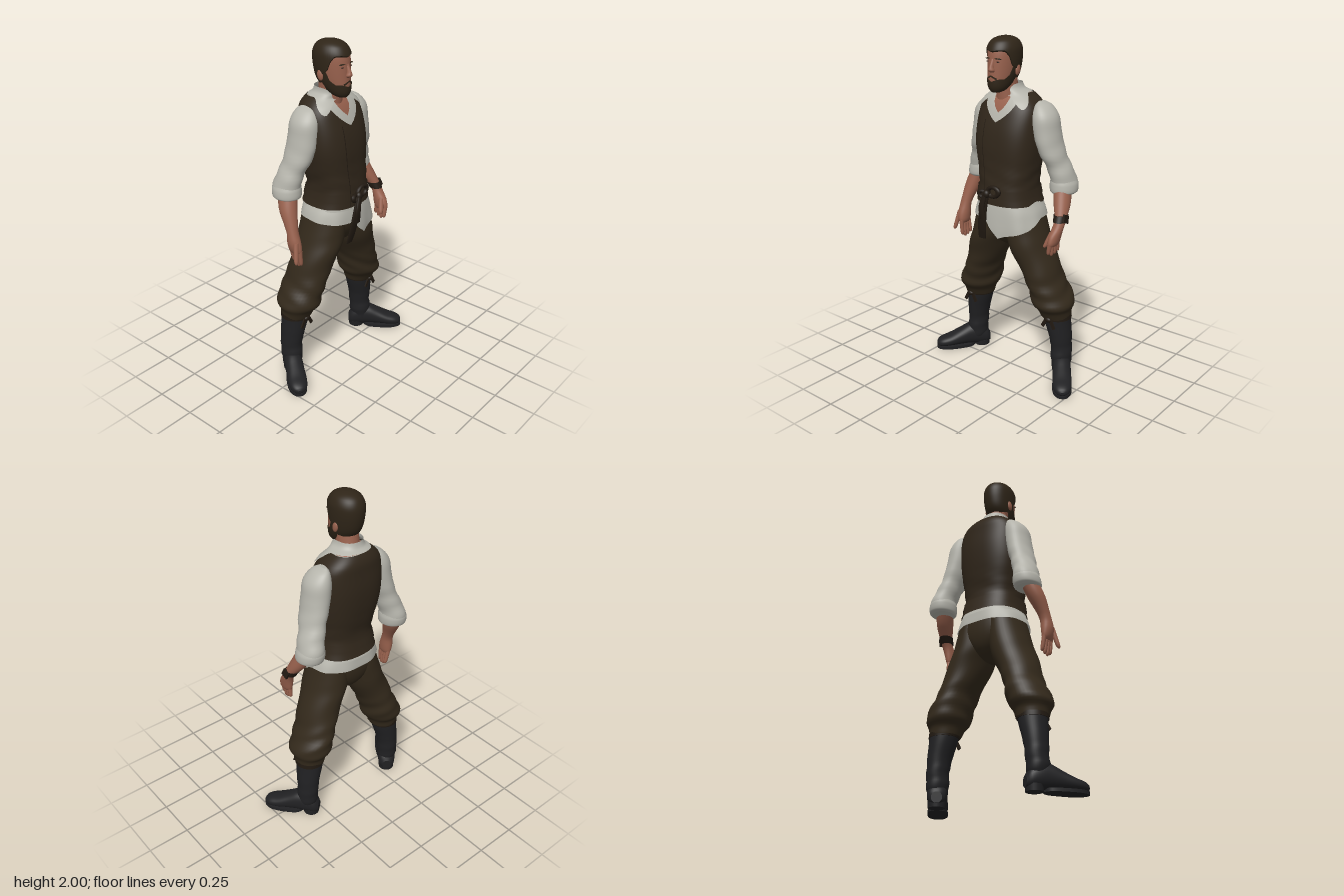
import * as THREE from 'three';

const mat = (name, color) => new THREE.MeshStandardMaterial({ name, color, side: THREE.DoubleSide });
const skin = mat('skin', 0x98614d), hair = mat('hair', 0x2f2518), shirt = mat('linen', 0xb6b5ac);
const vest = mat('vest brown', 0x30261a), pants = mat('trouser brown', 0x33291b);
const boot = mat('boot leather', 0x212123), strap = mat('strap leather', 0x221a12), dark = mat('eye dark', 0x3a2620);

// Smoothly interpolated section at height y; each section is [y, centreX, centreZ, radiusX, radiusZ]
function sectionAt(p, y) {
  const n = p.length - 1;
  y = Math.min(Math.max(y, p[0][0]), p[n][0]);
  let i = 0;
  while (i < n - 1 && y > p[i + 1][0]) i++;
  const h = p[i + 1][0] - p[i][0], t = (y - p[i][0]) / h;
  const slope = (k, c) => {
    const a = p[Math.max(k - 1, 0)], b = p[Math.min(k + 1, n)];
    return (b[c] - a[c]) / (b[0] - a[0]);
  };
  return [1, 2, 3, 4].map(c => (2 * t ** 3 - 3 * t * t + 1) * p[i][c] + (t ** 3 - 2 * t * t + t) * h * slope(i, c)
    + (3 * t * t - 2 * t ** 3) * p[i + 1][c] + (t ** 3 - t * t) * h * slope(i + 1, c));
}

// Surface wrapped round a profile between two edges, which may vary with the angle
function wrap(name, material, profile, o = {}) {
  const p = [...profile].sort((a, b) => a[0] - b[0]);
  const { lo = p[0][0], hi = p[p.length - 1][0], a0 = 0, a1 = Math.PI * 2, grow = 0, rows = 20, cols = 40, n = 2, caps = true } = o;
  const val = (f, ...a) => typeof f === 'function' ? f(...a) : f;
  const full = a1 - a0 > 6.28, w = full ? cols : cols + 1;
  const pos = [], idx = [];
  for (let i = 0; i <= rows; i++) for (let j = 0; j < w; j++) {
    const a = a0 + (a1 - a0) * j / cols, t = (1 - Math.cos(Math.PI * i / rows)) / 2;
    const l = val(lo, a), y = l + (val(hi, a) - l) * t;
    const [cx, cz, rx, rz] = sectionAt(p, y), g = val(grow, a, y);
    const c = Math.cos(a), s = Math.sin(a), e = 2 / n;
    pos.push(cx + (rx + g) * Math.sign(c) * Math.abs(c) ** e, y, cz + (rz + g) * Math.sign(s) * Math.abs(s) ** e);
  }
  for (let i = 0; i < rows; i++) for (let j = 0; j < cols; j++) {
    const a = i * w + j, b = i * w + (j + 1) % w;
    idx.push(a, a + w, b, b, a + w, b + w);
  }
  if (caps && full) for (const r of [0, rows]) {
    const start = pos.length / 3, mid = [0, 0, 0];
    for (let j = 0; j < w; j++) for (let k = 0; k < 3; k++) {
      const v = pos[(r * w + j) * 3 + k];
      pos.push(v);
      mid[k] += v / w;
    }
    pos.push(...mid);
    for (let j = 0; j < w; j++) {
      const a = start + j, b = start + (j + 1) % w;
      idx.push(start + w, r ? b : a, r ? a : b);
    }
  }
  const g = new THREE.BufferGeometry();
  g.setAttribute('position', new THREE.Float32BufferAttribute(pos, 3));
  g.setIndex(idx);
  g.computeVertexNormals();
  const m = new THREE.Mesh(g, material);
  m.name = name;
  return m;
}

function part(name, geometry, material, [x, y, z], scale = [1, 1, 1], rot = [0, 0, 0]) {
  const m = new THREE.Mesh(geometry, material);
  m.name = name;
  m.position.set(x, y, z);
  m.scale.set(...scale);
  m.rotation.set(...rot);
  return m;
}

const front = a => Math.abs(Math.atan2(Math.cos(a), Math.sin(a))); // angle away from the front
const lerpTable = (t, x) => {
  let i = 0;
  while (i < t.length - 2 && x > t[i + 1][0]) i++;
  const k = Math.min(Math.max((x - t[i][0]) / (t[i + 1][0] - t[i][0]), 0), 1);
  return t[i][1] + (t[i + 1][1] - t[i][1]) * k;
};
const mirror = (p, s) => p.map(([y, x, ...r]) => [y, x * s, ...r]);
const ball = new THREE.SphereGeometry(1, 20, 14);

const HEAD = [[1.7, -.04, .07, .018, .022], [1.71, -.04, .06, .036, .042], [1.73, -.04, .045, .052, .066], [1.76, -.04, .028, .064, .086],
  [1.8, -.04, .013, .074, .1], [1.86, -.04, .004, .081, .107], [1.91, -.04, 0, .083, .107], [1.94, -.04, -.002, .08, .101],
  [1.97, -.04, -.004, .066, .084], [1.985, -.04, -.005, .05, .064], [1.995, -.04, -.006, .028, .038], [2, -.04, -.006, .006, .008]];
const TORSO = [[1.06, -.004, -.01, .192, .172], [1.12, -.004, -.004, .177, .161], [1.2, -.004, 0, .17, .15], [1.3, -.01, -.012, .184, .154],
  [1.4, -.015, -.02, .199, .16], [1.5, -.015, -.03, .201, .155], [1.6, -.015, -.043, .193, .134], [1.65, -.018, -.053, .168, .119],
  [1.69, -.022, -.057, .122, .092], [1.72, -.025, -.045, .07, .07]];
const COLLAR = [[1.6, -.015, -.043, .207, .148], [1.65, -.018, -.053, .18, .132], [1.69, -.022, -.053, .128, .1],
  [1.715, -.03, -.034, .084, .086], [1.76, -.035, -.025, .069, .079]];
const SKIRT = [[1.13, 0, -.006, .163, .146], [1.08, 0, -.008, .184, .162], [1.04, 0, -.008, .204, .168], [1, 0, -.008, .217, .172],
  [.93, .002, -.006, .234, .174], [.86, .002, -.005, .242, .172]];
const HIPS = [[1.08, 0, -.01, .165, .14], [1, 0, -.01, .203, .15], [.93, 0, -.013, .2, .144], [.87, 0, -.018, .13, .12], [.83, 0, -.02, .07, .085], [.795, 0, -.02, .015, .03]];
const SLEEVE = [[1.655, .17, -.065, .012, .03], [1.635, .185, -.062, .04, .06], [1.58, .203, -.057, .068, .087], [1.5, .215, -.058, .072, .092],
  [1.4, .24, -.065, .068, .092], [1.3, .275, -.09, .067, .081], [1.24, .295, -.108, .07, .085], [1.18, .302, -.11, .072, .082], [1.15, .303, -.105, .064, .068]];
const LEG = [[1.02, .1, -.01, .1, .142], [.9, .12, -.014, .117, .146], [.8, .155, -.02, .119, .142], [.7, .198, -.034, .112, .136],
  [.6, .238, -.048, .107, .136], [.53, .266, -.058, .117, .138], [.48, .281, -.057, .12, .132], [.445, .287, -.06, .1, .106],
  [.4, .292, -.068, .088, .09]];
const SHAFT = [[.44, .292, -.07, .086, .085], [.36, .302, -.075, .077, .081], [.28, .317, -.08, .067, .074], [.2, .325, -.085, .06, .067],
  [.13, .328, -.08, .06, .068], [.07, .327, -.08, .05, .058]];
const FOOT = [[-.07, 0, -.05, .03, .03], [-.05, 0, -.062, .048, .052], [0, 0, -.08, .056, .072], [.06, 0, -.081, .055, .068], [.12, 0, -.067, .055, .053],
  [.19, 0, -.05, .056, .037], [.24, 0, -.042, .048, .029], [.266, 0, -.036, .03, .02], [.274, 0, -.034, .012, .008]];

function buildHead() {
  const g = new THREE.Group();
  g.name = 'head';
  g.add(wrap('face', skin, HEAD, { hi: 1.97 }));
  g.add(wrap('neck', skin, [[1.58, -.03, -.03, .075, .075], [1.68, -.033, -.022, .062, .072], [1.78, -.04, -.01, .058, .066]]));
  const hairline = [[0, 1.925], [.5, 1.932], [.85, 1.93], [1.1, 1.9], [1.3, 1.85], [1.62, 1.83], [1.95, 1.775], [3.15, 1.755]];
  g.add(wrap('hair', hair, HEAD, { lo: a => lerpTable(hairline, front(a)), grow: .009, rows: 28, cols: 64 }));
  const cheek = [[0, 1.76], [.3, 1.768], [.6, 1.775], [1, 1.775], [1.3, 1.8], [1.45, 1.86], [1.75, 1.85], [1.95, 1.74], [3.15, 1.72]];
  g.add(wrap('beard', hair, HEAD, { lo: 1.7, hi: a => lerpTable(cheek, front(a)), grow: .005, cols: 64 }));
  g.add(wrap('moustache', hair, HEAD, { lo: a => 1.788 - .04 * front(a), hi: a => 1.797 - .035 * front(a), a0: 1.1, a1: 2.04, grow: .005, rows: 4 }));
  g.add(wrap('nose', skin, [[1.812, -.038, .108, .012, .012], [1.822, -.038, .114, .019, .02], [1.84, -.038, .113, .013, .018], [1.885, -.038, .1, .01, .01]], { cols: 16 }));
  for (const s of [-1, 1]) {
    g.add(part('ear', ball, skin, [-.04 + s * .083, 1.82, -.012], [.011, .03, .019], [-.2, 0, 0]));
    g.add(part('eye', ball, dark, [-.04 + s * .034, 1.868, .1], [.011, .0035, .005]));
    g.add(part('eyebrow', ball, hair, [-.04 + s * .036, 1.885, .1], [.02, .0035, .007], [0, s * .3, -s * .1]));
  }
  return g;
}

function buildTorso() {
  const g = new THREE.Group();
  g.name = 'torso';
  const body = { n: 2.5, cols: 64, rows: 30 };
  const vee = (base, slope) => a => Math.min(1.695, base + slope * front(a));
  g.add(wrap('chest', skin, TORSO, { ...body, lo: 1.4, hi: 1.7, grow: -.014 }));
  g.add(wrap('shirt', shirt, TORSO, { ...body, hi: vee(1.59, .28), grow: -.006, caps: false }));
  const creases = (a, y) => .003 * Math.sin(y * 70 + 3 * Math.sin(a * 2)) * Math.max(0, 1 - Math.abs(y - 1.23) / .13);
  g.add(wrap('vest', vest, TORSO, { ...body, lo: 1.075, hi: vee(1.54, .19), grow: creases, caps: false }));
  g.add(wrap('vest edge', strap, TORSO, { n: 2.5, lo: 1.08, hi: 1.55, a0: 1.83, a1: 1.855, grow: .005, cols: 2 }));
  const sweep = .3;
  g.add(wrap('collar', shirt, COLLAR, { n: 2.3, cols: 64, a0: Math.PI / 2 + sweep, a1: Math.PI * 2.5 - sweep,
    lo: a => 1.698 - .08 * Math.exp(-(((front(a) - .8) / .36) ** 2)), hi: a => 1.745 - .075 * Math.exp(-((front(a) / .7) ** 2)) }));
  const hem = [[0, 1], [.5, .945], [1.3, .9], [1.44, .885], [1.6, .93], [1.74, .978], [2.6, .99], [3.2, 1], [6.1, 1], [6.29, 1]];
  g.add(wrap('shirt tail', shirt, SKIRT, { n: 2.3, cols: 96, lo: a => lerpTable(hem, a), caps: false,
    grow: (a, y) => .004 * Math.sin(a * 9) * Math.max(0, 1.08 - y) * 6 }));
  // Tied sash: waist band, bow loops, knot and hanging ends
  g.add(wrap('waist band', vest, TORSO, { n: 2.5, cols: 64, rows: 8, lo: 1.12, hi: 1.165, grow: .005, caps: false }));
  g.add(part('bow loop', new THREE.TorusGeometry(.032, .013, 10, 24), strap, [.015, 1.158, .172], [1.2, .85, 1], [0, 0, .15]));
  g.add(part('bow loop', new THREE.TorusGeometry(.022, .012, 10, 24), strap, [-.055, 1.135, .176], [1.1, .8, 1], [0, .3, -.3]));
  g.add(part('knot', ball, strap, [-.025, 1.142, .182], [.022, .024, .02]));
  g.add(wrap('hanging sash', strap, [[1.14, -.028, .182, .02, .012], [1.02, -.055, .182, .028, .01], [.92, -.07, .17, .03, .008], [.86, -.08, .158, .026, .006]], { cols: 16 }));
  g.add(wrap('short sash', strap, [[1.14, -.03, .19, .015, .01], [1.06, -.05, .198, .02, .009], [.985, -.045, .19, .02, .006]], { cols: 16 }));
  return g;
}

function finger(name, [x0, y0, z0], [x1, y1, z1], r) {
  const at = (t, k) => [y0 + (y1 - y0) * t, x0 + (x1 - x0) * t, z0 + (z1 - z0) * t, r * k, r * k];
  return wrap(name, skin, [at(0, 1.1), at(.5, 1), at(.88, .85), at(.97, .5), at(1, .15)], { cols: 12, rows: 10 });
}

function buildArm(s) {
  const g = new THREE.Group(), left = s > 0;
  g.name = left ? 'leftArm' : 'rightArm';
  const folds = (a, y) => .004 * Math.sin(y * 60 + 2 * Math.sin(a)) * Math.max(0, 1 - Math.abs(y - 1.32) / .15);
  g.add(wrap('sleeve', shirt, mirror(SLEEVE, s), { rows: 36, grow: folds }));
  g.add(wrap('rolled cuff', shirt, mirror([[1.15, .303, -.103, .066, .07], [1.16, .303, -.106, .076, .084],
    [1.2, .3, -.11, .077, .088], [1.225, .297, -.11, .07, .083]], s)));
  g.add(wrap('forearm and palm', skin, left
    ? [[1.2, .305, -.09, .05, .055], [1.1, .335, -.045, .045, .052], [1.03, .358, 0, .032, .036], [.99, .36, .022, .031, .034],
      [.95, .356, .042, .03, .045], [.9, .353, .055, .023, .047], [.885, .352, .058, .014, .036]]
    : [[1.2, -.305, -.1, .05, .055], [1.1, -.335, -.07, .05, .053], [1.02, -.353, -.035, .037, .04], [.97, -.36, -.015, .033, .034],
      [.92, -.362, -.005, .034, .043], [.87, -.358, 0, .025, .044], [.855, -.357, 0, .015, .036]]));
  for (let i = 0; i < 4; i++) {
    const k = i - 1.5, tip = Math.abs(k - .3) * .012;
    g.add(left ? finger('finger', [.352, .905, .055 + k * .022], [.346 - k * .004, .822 + tip, .052 + k * .023], .0125)
      : finger('finger', [-.357, .875, k * .021], [-.343 - k * .004, .765 + tip, .002 + k * .02], .0125));
  }
  g.add(left ? finger('thumb', [.345, .96, .06], [.312, .872, .085], .015) : finger('thumb', [-.375, .93, .02], [-.402, .81, .045], .014));
  if (left) {
    // Wrist strap with a small square plate
    g.add(wrap('wristband', strap, [[1.015, .358, .007, .036, .041], [1.05, .352, -.012, .039, .044]], { rows: 4 }));
    g.add(part('wristband plate', new THREE.BoxGeometry(.012, .045, .045), strap, [.392, 1.034, 0], [1, 1, 1], [-.4, 0, .15]));
  }
  return g;
}

function buildLeg(s) {
  const g = new THREE.Group();
  g.name = s > 0 ? 'leftLeg' : 'rightLeg';
  const folds = (a, y) => .005 * Math.sin(y * 62 + 3.5 * Math.sin(a + .6)) * Math.max(0, 1 - Math.abs(y - .56) / .13)
    + .003 * Math.sin(y * 28 + a * 2) * Math.min(1, Math.max(0, y - .6) * 12) * Math.min(1, Math.max(0, .92 - y) * 12);
  g.add(wrap('trouser leg', pants, mirror(LEG, s), { rows: 48, grow: folds }));
  g.add(wrap('boot shaft', boot, mirror(SHAFT, s), { grow: (a, y) => .0025 * Math.sin(y * 80 + a) * Math.min(1, Math.max(0, .28 - y) * 20) }));
  // Lacing at the top of the boot
  g.add(wrap('boot strap', strap, mirror([[.39, .298, -.072, .086, .087], [.415, .294, -.07, .088, .089]], s), { rows: 4 }));
  g.add(part('strap knot', ball, strap, [s * .3, .4, .022], [.022, .016, .014]));
  for (const k of [-1, 1])
    g.add(part('strap end', new THREE.BoxGeometry(.02, .065, .008), strap, [s * .3 + k * .026, .378, .02], [1, 1, 1], [0, 0, k * .5]));
  // Foot, built along its length and turned outward
  const foot = new THREE.Group();
  foot.name = 'bootFoot';
  const upper = wrap('boot foot', boot, FOOT, { rows: 30, n: 2.2 });
  upper.geometry.rotateX(Math.PI / 2);
  const outline = new THREE.Shape();
  outline.moveTo(0, .02);
  outline.splineThru([[.044, .06], [.056, .15], [.051, .22], [.028, .264], [0, .275], [-.028, .264], [-.051, .22], [-.056, .15], [-.044, .06], [0, .02]]
    .map(([x, y]) => new THREE.Vector2(x, y)));
  const sole = new THREE.ExtrudeGeometry(outline, { depth: .018, bevelEnabled: false, curveSegments: 40 }).rotateX(Math.PI / 2);
  foot.add(upper, part('sole', sole, boot, [0, .019, 0]));
  foot.add(part('heel', new THREE.CylinderGeometry(.05, .047, .035, 28), boot, [0, .0175, -.02]));
  foot.position.set(s * .327, 0, -.083);
  foot.rotation.y = s * .65;
  g.add(foot);
  return g;
}

export function createModel() {
  const model = new THREE.Group();
  model.name = 'standingMan';
  model.add(buildHead(), buildTorso(), wrap('trouser seat', pants, HIPS, { n: 2.2 }));
  for (const s of [-1, 1]) model.add(buildArm(s), buildLeg(s));
  return model;
}
